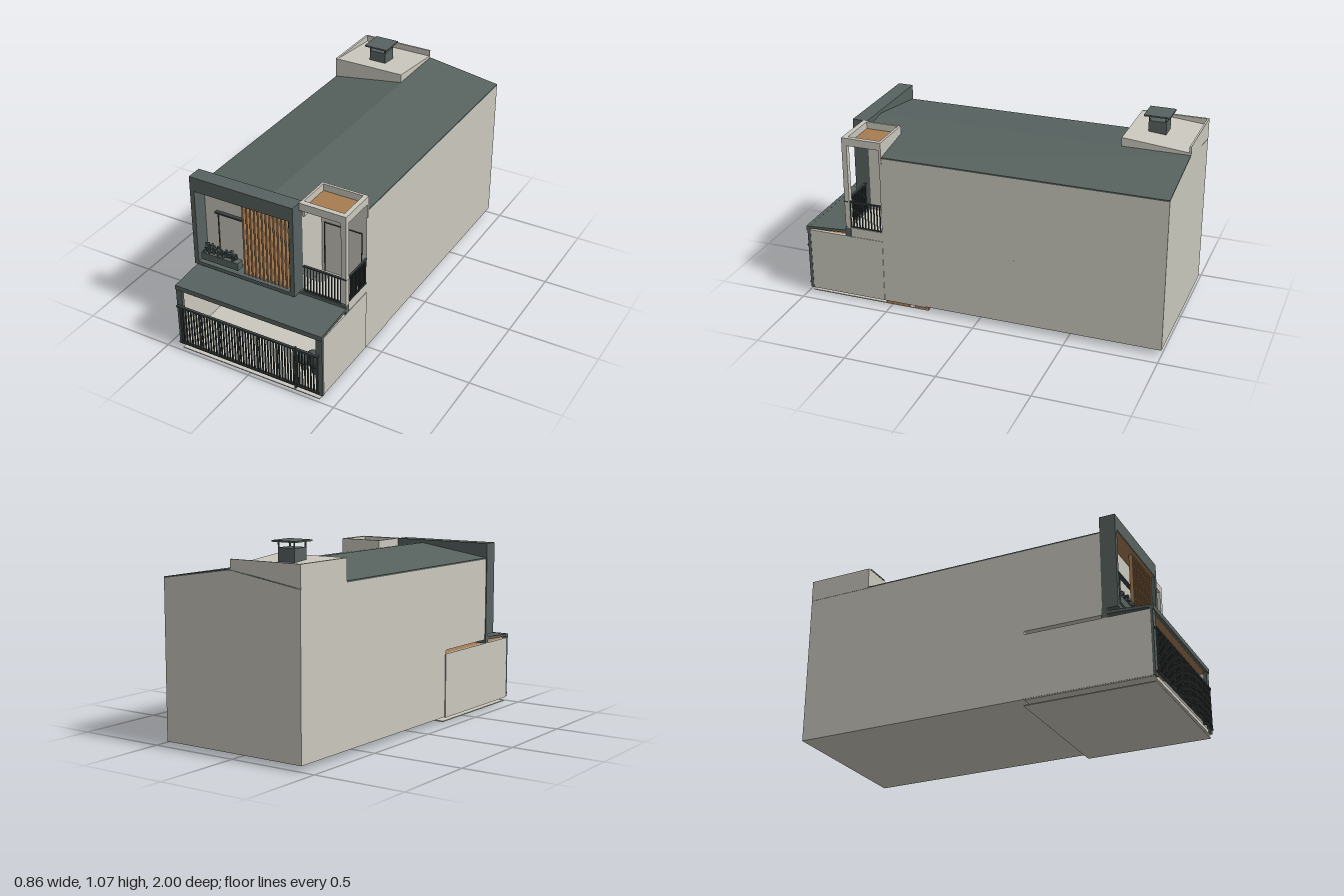
import * as THREE from 'three';
import { mergeGeometries } from 'three/addons/utils/BufferGeometryUtils.js';

const mat = (name, color) => {
  const m = new THREE.MeshStandardMaterial({ color });
  m.name = name;
  return m;
};

export function createModel() {
  const house = new THREE.Group();
  house.name = 'house';
  const light = mat('pale render', 0xc9c7bd);
  const dark = mat('slate grey', 0x57625f);
  const rail = mat('dark metal', 0x3c4342);
  const wood = mat('timber', 0xa67c52);
  const leaf = mat('foliage', 0x465150);

  const add = (name, geo, m) => {
    const mesh = new THREE.Mesh(geo, m);
    mesh.name = name;
    house.add(mesh);
    return mesh;
  };
  // box geometry from its limits
  const bx = (x0, x1, y0, y1, z0, z1) =>
    new THREE.BoxGeometry(x1 - x0, y1 - y0, z1 - z0)
      .translate((x0 + x1) / 2, (y0 + y1) / 2, (z0 + z1) / 2);
  const box = (name, m, ...b) => add(name, bx(...b), m);
  const boxes = (name, m, list) => add(name, mergeGeometries(list.map((b) => bx(...b))), m);
  const shape = (pts) => new THREE.Shape(pts.map((p) => new THREE.Vector2(...p)));
  // x-y outline extruded from z0 to z1
  const alongZ = (pts, z0, z1) =>
    new THREE.ExtrudeGeometry(shape(pts), { depth: z1 - z0, bevelEnabled: false }).translate(0, 0, z0);
  // z-y outline extruded from x0 to x1
  const alongX = (pts, x0, x1) =>
    new THREE.ExtrudeGeometry(shape(pts.map(([z, y]) => [-z, y])), { depth: x1 - x0, bevelEnabled: false })
      .rotateY(Math.PI / 2).translate(x0, 0, 0);

  // main volumes with a shallow gable
  const W = 0.425, R = 0.17, EAVE = 0.86, RIDGE = 0.925;
  const slope = (x) => RIDGE - (RIDGE - EAVE) * Math.abs(x) / W;
  const gable = (x1, y0) => [[-W, y0], [x1, y0], [x1, slope(x1)], [0, RIDGE], [-W, EAVE]];
  const roofStrip = (x1) => [[-W, EAVE], [0, RIDGE], [x1, slope(x1)],
    [x1, slope(x1) + 0.008], [0, RIDGE + 0.008], [-W, EAVE + 0.008]];
  box('lowerBody', light, -W, W, 0.03, 0.4, -1, 0.3);
  add('upperBody', alongZ(gable(W, 0.4), -1, 0.54), light);
  add('frontRoom', alongZ(gable(R, 0.4), 0.54, 0.725), light);
  add('mainRoof', alongZ(roofStrip(W), -1, 0.54), dark);
  add('frontRoof', alongZ(roofStrip(R), 0.54, 0.75), dark);

  // roof terrace with sloping deck and chimney
  add('terraceDeck', alongX([[-1, 0.86], [-0.635, 0.86], [-0.635, 0.98], [-1, 0.945]], -0.427, -0.005), light);
  boxes('terraceParapet', light, [
    [-0.427, -0.415, 0.86, 0.98, -1, -0.635],
    [-0.427, -0.005, 0.86, 0.98, -1, -0.99],
  ]);
  box('chimney', dark, -0.26, -0.16, 0.94, 1.03, -0.83, -0.735);
  box('chimneyCap', dark, -0.28, -0.14, 1.058, 1.066, -0.852, -0.712);
  const legs = [];
  for (const x of [-0.26, -0.166]) for (const z of [-0.83, -0.741])
    legs.push([x, x + 0.006, 1.03, 1.058, z, z + 0.006]);
  boxes('chimneyLegs', dark, legs);

  // projecting frame around the upper window
  const frame = shape([[-0.43, 0.43], [R, 0.43], [R, 0.95], [-0.43, 0.95]]);
  frame.holes.push(new THREE.Path(
    [[-0.405, 0.45], [-0.405, 0.87], [0.145, 0.87], [0.145, 0.45]].map((p) => new THREE.Vector2(...p))));
  add('upperFrame', new THREE.ExtrudeGeometry(frame, { depth: 0.085, bevelEnabled: false }).translate(0, 0, 0.725), dark);
  box('frameSoffit', wood, -0.405, 0.145, 0.867, 0.87, 0.727, 0.807);
  const slats = [];
  for (let i = 0; i < 13; i++) {
    const x = -0.139 + i * 0.0225;
    slats.push([x, x + 0.009, 0.45, 0.868, 0.77, 0.79]);
  }
  boxes('timberSlats', wood, slats);
  boxes('upperWindowFrame', rail, [
    [-0.335, -0.008, 0.727, 0.736, 0.725, 0.745],
    [-0.328, -0.324, 0.51, 0.727, 0.725, 0.73],
    [-0.175, -0.17, 0.555, 0.727, 0.725, 0.73],
    [-0.175, -0.008, 0.553, 0.559, 0.725, 0.735],
    [-0.012, -0.008, 0.555, 0.727, 0.725, 0.73],
  ]);

  // planter and leaves
  box('planter', dark, -0.387, -0.165, 0.47, 0.512, 0.765, 0.808);
  let seed = 7;
  const rnd = () => (seed = (seed * 16807) % 2147483647) / 2147483647;
  const leaves = [];
  for (let i = 0; i < 70; i++) {
    leaves.push(new THREE.IcosahedronGeometry(0.013, 0).scale(1, 0.75, 0.5)
      .rotateZ(rnd() * 3).rotateY(rnd() * 3)
      .translate(-0.375 + rnd() * 0.195, 0.515 + rnd() * 0.04, 0.775 + rnd() * 0.028));
  }
  add('planterLeaves', mergeGeometries(leaves), leaf);

  // balcony floor, post, open canopy
  box('balconyFloor', light, R, W, 0.38, 0.432, 0.3, 0.725);
  box('balconyPost', light, 0.4, 0.43, 0.43, 0.95, 0.722, 0.75);
  boxes('canopyBeams', light, [
    [R, 0.43, 0.908, 0.95, 0.722, 0.75],
    [0.405, 0.43, 0.908, 0.95, 0.535, 0.722],
    [R, 0.43, 0.83, 0.95, 0.527, 0.541],
    [R, 0.182, 0.86, 0.95, 0.541, 0.722],
  ]);
  box('canopyCeiling', wood, 0.182, 0.405, 0.903, 0.912, 0.541, 0.722);
  boxes('balconyDoorFrame', rail, [
    [0.185, 0.402, 0.726, 0.73, 0.54, 0.545],
    [0.299, 0.303, 0.432, 0.726, 0.54, 0.545],
    [0.185, 0.189, 0.432, 0.726, 0.54, 0.545],
    [0.399, 0.402, 0.432, 0.726, 0.54, 0.545],
  ]);
  const bal = [
    [0.185, 0.43, 0.582, 0.59, 0.74, 0.752], [0.185, 0.43, 0.436, 0.442, 0.742, 0.75],
    [0.42, 0.43, 0.582, 0.59, 0.54, 0.752], [0.421, 0.428, 0.436, 0.442, 0.54, 0.75],
  ];
  for (let x = 0.188; x < 0.425; x += 0.0172) bal.push([x, x + 0.006, 0.442, 0.582, 0.743, 0.749]);
  for (let z = 0.545; z < 0.735; z += 0.0172) bal.push([0.422, 0.428, 0.442, 0.582, z, z + 0.006]);
  boxes('balconyRailing', rail, bal);

  // porch walls, floor, ceiling and lean-to roof
  boxes('porchWalls', light, [
    [-0.43, -0.415, 0.03, 0.38, 0.29, 0.972],
    [0.413, 0.425, 0.03, 0.38, 0.3, 0.54],
    [0.413, 0.428, 0.03, 0.38, 0.54, 0.972],
  ]);
  box('porchFloor', light, -0.428, W, 0.025, 0.045, 0.3, 0.975);
  box('porchCeiling', wood, -0.415, 0.413, 0.374, 0.38, 0.3, 0.972);
  box('rearBeam', dark, -0.43, 0.43, 0.38, 0.432, 0.722, 0.752);
  add('porchRoof', alongX([[0.725, 0.4], [0.99, 0.388], [0.99, 0.4], [0.725, 0.418]], -0.43, 0.43), dark);
  boxes('porchFrontFrame', dark, [
    [-0.43, 0.43, 0.375, 0.402, 0.968, 0.99],
    [-0.43, -0.395, 0.03, 0.375, 0.968, 0.985],
    [0.393, 0.43, 0.03, 0.375, 0.968, 0.985],
  ]);
  const lamps = [];
  for (const x of [-0.32, -0.16, 0, 0.16]) for (const z of [0.5, 0.85])
    lamps.push([x - 0.007, x + 0.007, 0.37, 0.374, z - 0.007, z + 0.007]);
  boxes('ceilingLamps', rail, lamps);

  // porch railing with gate post
  const pr = [
    [-0.425, 0.413, 0.272, 0.281, 0.986, 1], [-0.425, 0.413, 0.044, 0.052, 0.986, 0.998],
    [0.277, 0.285, 0.03, 0.286, 0.984, 1],
  ];
  for (let i = 0; i < 50; i++) {
    const x = -0.41 + i * 0.0165, w = i % 7 === 0 ? 0.01 : 0.006;
    pr.push([x, x + w, 0.05, 0.274, 0.989, 0.996]);
  }
  boxes('porchRailing', rail, pr);

  // entrance door, round shrubs and ground steps
  box('frontDoor', wood, 0.24, 0.372, 0.045, 0.33, 0.3, 0.309);
  box('doorTrim', wood, 0.231, 0.24, 0.33, 0.375, 0.3, 0.312);
  box('entryCorner', light, 0.18, 0.188, 0.045, 0.375, 0.3, 0.31);
  for (const [x, z] of [[0.248, 0.86], [0.283, 0.83], [0.312, 0.86]]) {
    add('shrub', new THREE.SphereGeometry(0.036, 14, 10).translate(x, 0.114, z), leaf);
    add('shrubPot', new THREE.CylinderGeometry(0.02, 0.015, 0.045, 12).translate(x, 0.066, z), dark);
  }
  box('entryStepBack', wood, 0.2, 0.41, 0.003, 0.028, 0.288, 0.37);
  box('entryStepFront', wood, 0.2, 0.41, 0.003, 0.028, 0.4, 0.535);
  box('groundPlate', light, -0.415, 0.41, 0, 0.005, 0.29, 0.98);
  return house;
}
